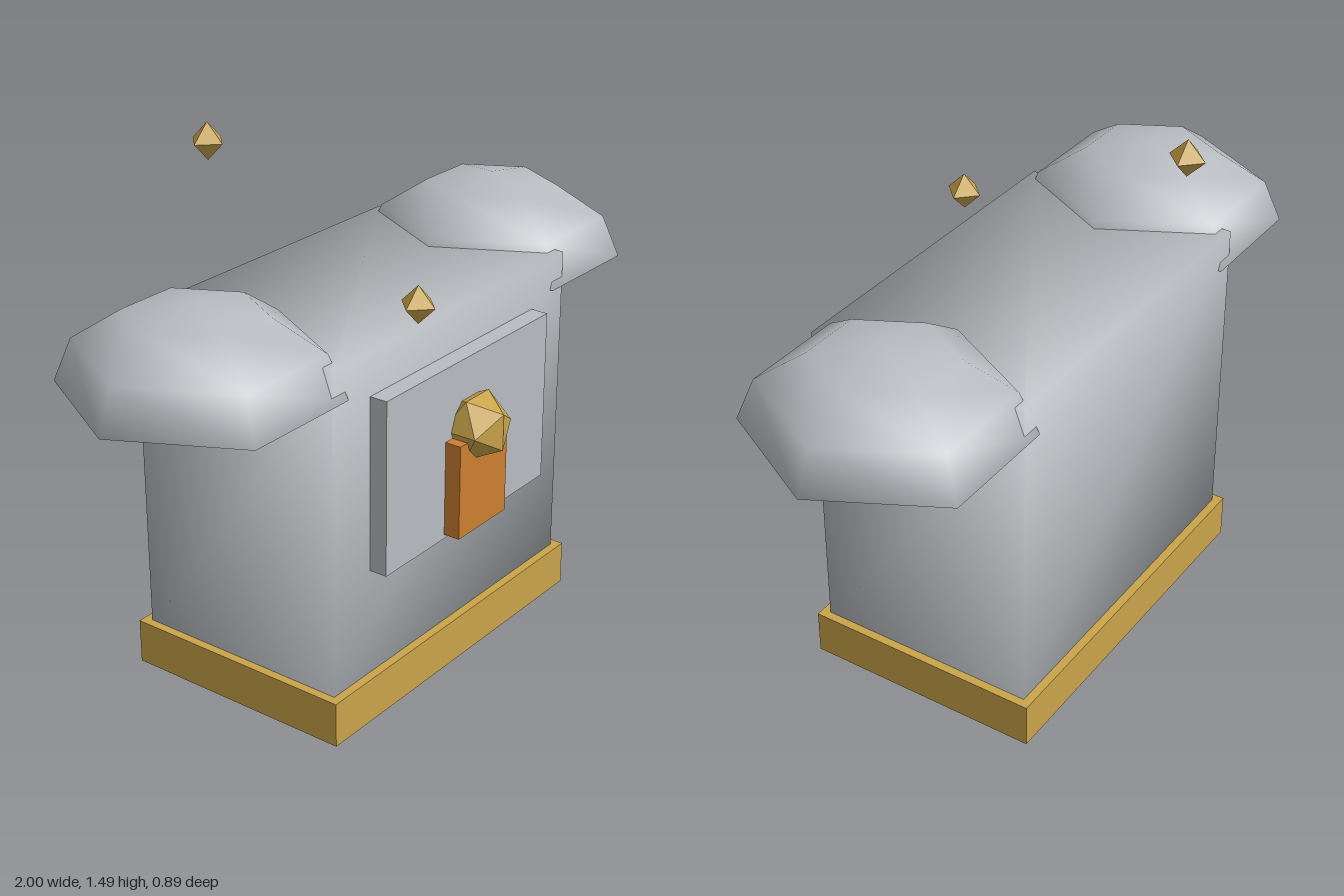
import * as THREE from 'three';
import { mergeVertices } from 'three/addons/utils/BufferGeometryUtils.js';

export function createModel() {
  const model = new THREE.Group();
  model.name = 'armouredTorso';
  const paint = (name, color) => {
    const m = new THREE.MeshStandardMaterial({ color, side: THREE.DoubleSide });
    m.name = name;
    return m;
  };
  const steel = paint('steel grey', 0xb8bcc0);
  const gold = paint('gold', 0xc9a44a);
  const bronze = paint('bronze', 0xcd7f32);

  const add = (name, geometry, material, x, y, z) => {
    const mesh = new THREE.Mesh(geometry, material);
    mesh.name = name;
    mesh.position.set(x, y, z);
    model.add(mesh);
    return mesh;
  };

  // Box whose corners share averaged normals, for a softly shaded block
  const softBox = (w, h, d) => {
    const box = new THREE.BoxGeometry(w, h, d);
    box.deleteAttribute('normal');
    box.deleteAttribute('uv');
    const soft = mergeVertices(box);
    soft.computeVertexNormals();
    return soft;
  };

  const midZ = -0.04;

  // Torso on its plinth
  add('base', new THREE.BoxGeometry(1.1, 0.13, 0.7), gold, 0, 0.065, midZ);
  add('torso', softBox(1.05, 0.955, 0.65), steel, 0, 0.5875, midZ);

  // Chest plate, plaque and gem
  add('chestPlate', new THREE.BoxGeometry(0.74, 0.5, 0.1), steel, 0, 0.69, 0.287);
  add('plaque', new THREE.BoxGeometry(0.22, 0.275, 0.08), bronze, 0, 0.59, 0.345);
  add('chestGem', new THREE.IcosahedronGeometry(0.1), gold, 0, 0.745, 0.36);

  // Open six-sided shoulder domes, each with a gold hoop inside
  for (const [side, s] of [['left', 1], ['right', -1]]) {
    const dome = new THREE.SphereGeometry(1, 6, 3, 0, Math.PI * 2, 0, Math.PI / 2);
    dome.scale(0.355, 0.24, 0.385);
    add(side + 'ShoulderDome', dome, steel, s * 0.645, 0.967, midZ);

    const arc = [];
    for (let i = 0; i <= 12; i++) {
      const a = (i / 12) * Math.PI;
      arc.push(new THREE.Vector3(0.308 * Math.cos(a), 0.185 * Math.sin(a), 0));
    }
    const hoop = new THREE.TubeGeometry(new THREE.CatmullRomCurve3(arc), 24, 0.025, 8);
    add(side + 'ShoulderHoop', hoop, gold, s * 0.645, 0.967, midZ);
  }

  // Floating shards
  const shard = new THREE.OctahedronGeometry(0.053);
  add('frontShard', shard, gold, -0.2, 1.14, 0.308);
  add('backShard', shard, gold, -0.2, 1.44, -0.388);

  return model;
}
